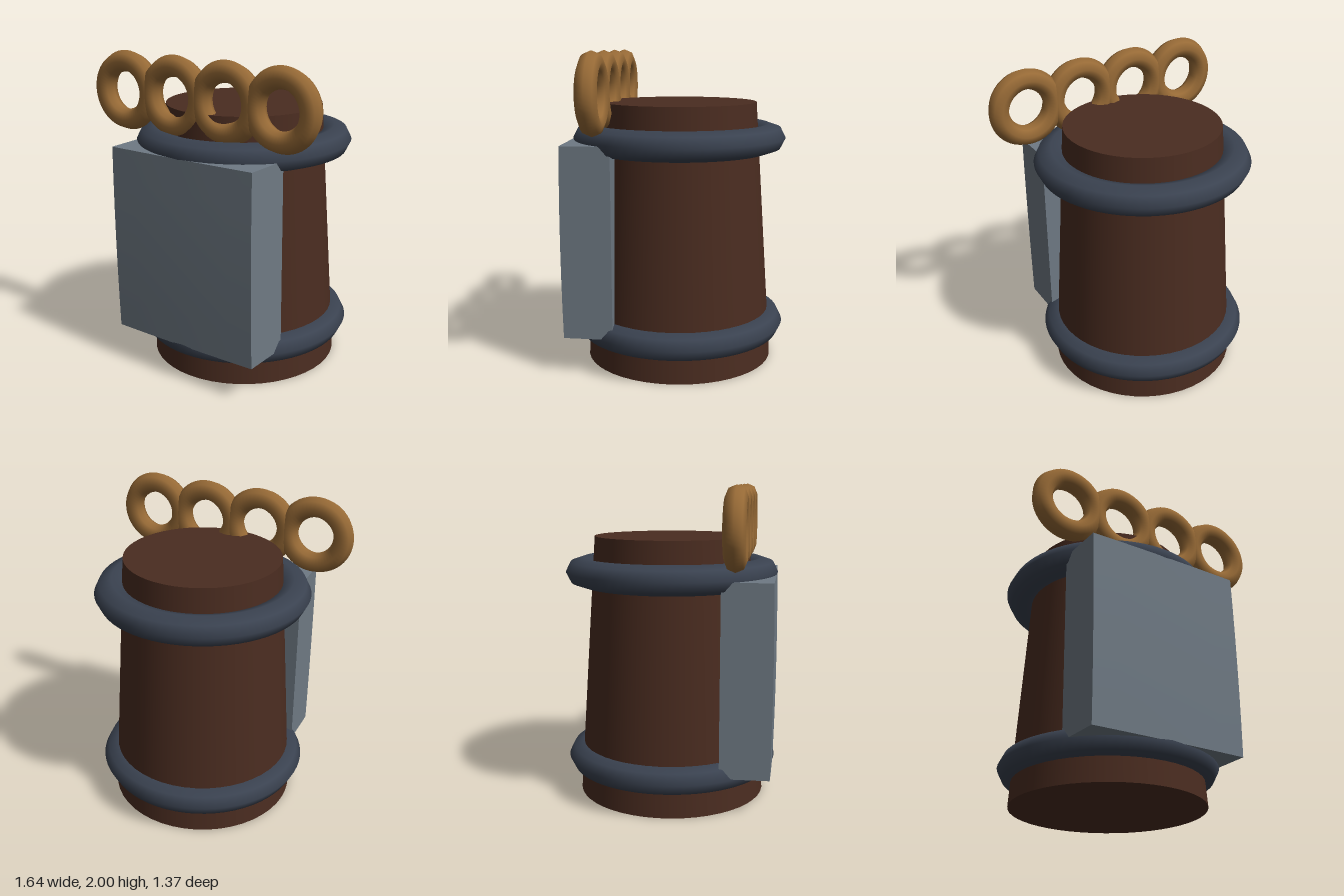
import * as THREE from 'three';

const mat = (name, color) => {
  const m = new THREE.MeshStandardMaterial({ color });
  m.name = name;
  return m;
};

export function createModel() {
  const group = new THREE.Group();
  const leather = mat('brown leather', 0x4a2c20);
  const iron = mat('dark iron', 0x3a4250);
  const steel = mat('grey steel', 0x6f7a84);
  const brass = mat('brass', 0x976a36);

  const add = (name, geometry, material, x, y, z) => {
    const mesh = new THREE.Mesh(geometry, material);
    mesh.name = name;
    mesh.position.set(x, y, z);
    group.add(mesh);
    return mesh;
  };

  // Tapered cuff
  add('cuff', new THREE.CylinderGeometry(0.495, 0.607, 1.675, 48), leather, 0, 0.8375, 0);

  // Slightly flattened bands around the cuff
  const band = new THREE.TorusGeometry(0.573, 0.11, 8, 64);
  band.rotateX(Math.PI / 2);
  band.scale(1, 0.83, 1);
  [['lowerBand', 0.235], ['upperBand', 1.45]].forEach(([name, y]) => add(name, band, iron, 0, y, 0));

  // Guard plate: a box with a faintly bowed front, narrowing forward
  const plate = new THREE.BoxGeometry(1.05, 1.2, 0.308, 6, 6, 1);
  const p = plate.attributes.position;
  for (let i = 0; i < p.count; i++) {
    if (p.getZ(i) < 0) continue;
    const u = p.getX(i) / 0.525, v = p.getY(i) / 0.6;
    p.setX(i, p.getX(i) * 0.986);
    p.setZ(i, p.getZ(i) + 0.006 * (1 - u * u) + 0.008 * (1 - v * v));
  }
  plate.computeVertexNormals();
  add('guardPlate', plate, steel, 0, 0.84, 0.516);

  // Row of four overlapping knuckle rings
  const ring = new THREE.TorusGeometry(0.182, 0.066, 8, 48);
  for (let i = 0; i < 4; i++) {
    add('knuckleRing' + (i + 1), ring, brass, (i - 1.5) * 0.38, 1.752, 0.45);
  }
  return group;
}
